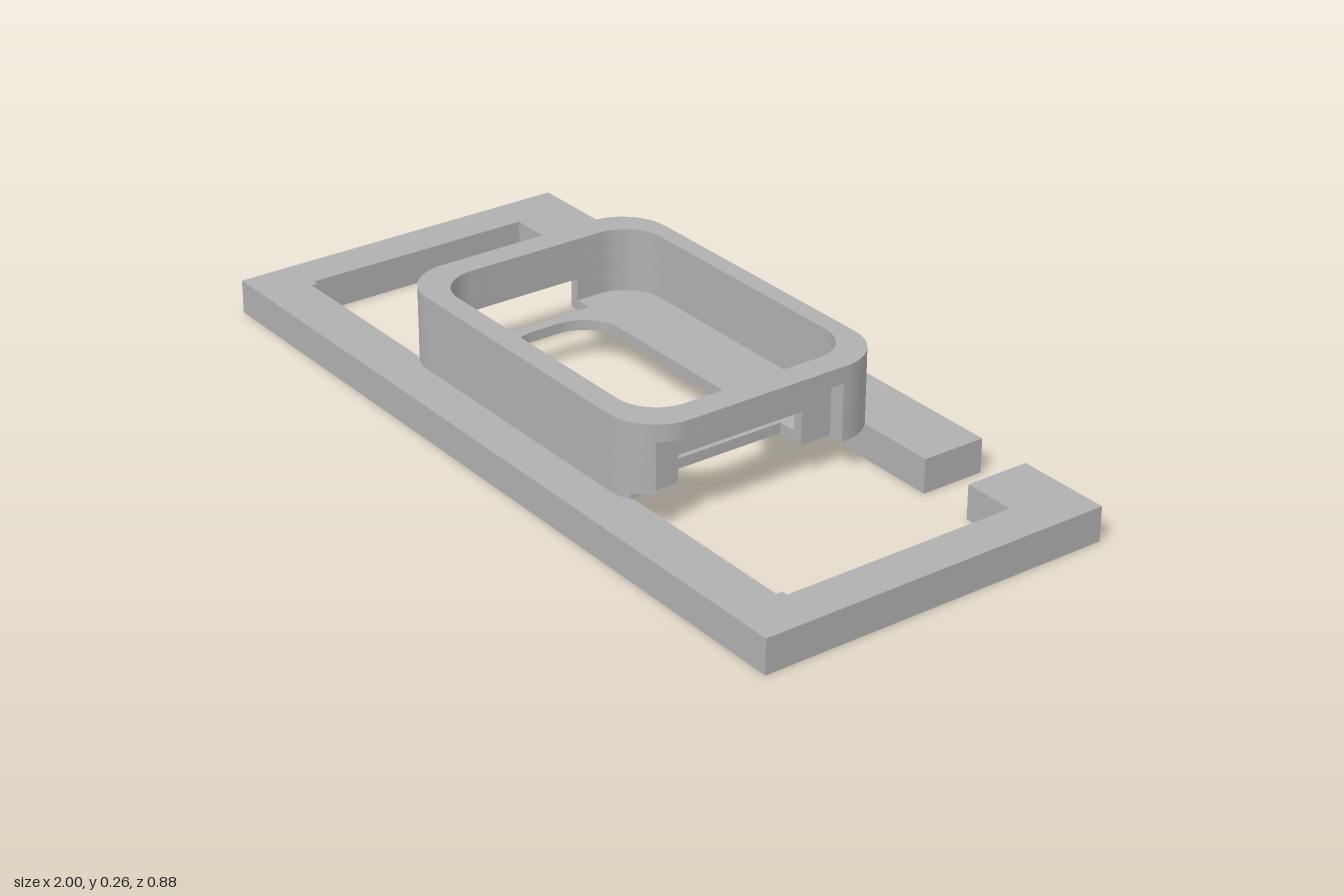
import * as THREE from 'three';
import { toCreasedNormals } from 'three/addons/utils/BufferGeometryUtils.js';

const BASE = 0.083, TOP = 0.263;

// Points of a quarter arc at the +x side; dir = 1 turns to the front, -1 to the back
function arc(cx, cz, r, dir, from = 0, n = 12) {
  const pts = [];
  for (let i = 0; i <= n; i++) {
    const a = from + (Math.PI / 2 - from) * i / n;
    pts.push([cx + r * Math.cos(a), cz + dir * r * Math.sin(a)]);
  }
  return pts;
}

// Mirror a +x half outline across x = 0 and close it
const mirrored = half => [...half, ...half.map(([x, z]) => [-x, z]).reverse()];
const toPoints = pts => pts.map(([x, z]) => new THREE.Vector2(x, z));

// Full rounded rectangle outline in x and z
const roundedRect = (hx, z0, z1, r) => mirrored([
  ...arc(hx - r, z0 + r, r, -1).reverse(),
  ...arc(hx - r, z1 - r, r, 1),
]);

export function createModel() {
  const model = new THREE.Group();
  const grey = new THREE.MeshStandardMaterial({ color: 0xb0b0b0 });
  grey.name = 'grey';

  // Horizontal slab with an x/z outline between two heights
  function slab(name, outline, y0, y1, hole) {
    const shape = new THREE.Shape(toPoints(outline));
    if (hole) shape.holes.push(new THREE.Path(toPoints(hole)));
    const geo = new THREE.ExtrudeGeometry(shape, { depth: y1 - y0, bevelEnabled: false });
    geo.rotateX(Math.PI / 2).translate(0, y1, 0);
    const mesh = new THREE.Mesh(toCreasedNormals(geo, 0.5), grey);
    mesh.name = name;
    model.add(mesh);
  }

  // Base frame: front bar, sides and back corners, then the separate back bar
  slab('baseFrame', mirrored([
    [0.88, 0.32], [0.88, 0.305], [0.895, 0.305], [0.895, -0.28],
    [0.767, -0.28], [0.767, -0.44], [1, -0.44], [1, 0.44],
  ]), 0, BASE);
  slab('backBar', mirrored([[0.63, -0.44], [0.63, -0.28]]), 0, BASE);

  // Corner curves of the cup wall
  const inner = roundedRect(0.4, -0.27, 0.285, 0.1);
  const outer = roundedRect(0.465, -0.315, 0.34, 0.12);
  const outerFront = z => arc(0.345, 0.22, 0.12, 1, Math.asin((z - 0.22) / 0.12));
  const outerBack = arc(0.345, -0.195, 0.12, -1);
  const innerFront = arc(0.3, 0.185, 0.1, 1, Math.asin(0.35));
  const innerBack = arc(0.3, -0.17, 0.1, -1);

  // Cup wall: closed rim, then a band recessed at both sides
  slab('cupRim', outer, 0.222, TOP, inner);
  slab('cupRecessBand', mirrored([
    ...[...outerBack].reverse(), [0.465, -0.187], [0.425, -0.187],
    [0.425, 0.29], ...outerFront(0.29),
  ]), 0.163, 0.222, inner);

  // Cup wall below the band, split by the side windows
  slab('cupBackWall', mirrored([
    ...[...innerBack].reverse(), [0.4, -0.107], [0.425, -0.107],
    [0.425, -0.187], [0.465, -0.187], ...outerBack,
  ]), BASE, 0.163);
  const frontWall = (x, z) => mirrored([
    ...[...innerFront].reverse(), [x, 0.22], [x, z], ...outerFront(z),
  ]);
  slab('cupFrontWall', frontWall(0.425, 0.29), 0.098, 0.163);
  slab('cupFrontFoot', frontWall(0.403, 0.325), BASE, 0.098);

  // Cup floor with side slots and a rounded opening
  slab('cupFloor', mirrored([
    [0.34, -0.28], [0.4, -0.2], [0.4, -0.107], [0.355, -0.107],
    [0.355, 0.215], [0.4, 0.215], [0.34, 0.3],
  ]), BASE, 0.108, roundedRect(0.325, -0.1, 0.17, 0.1));

  return model;
}
